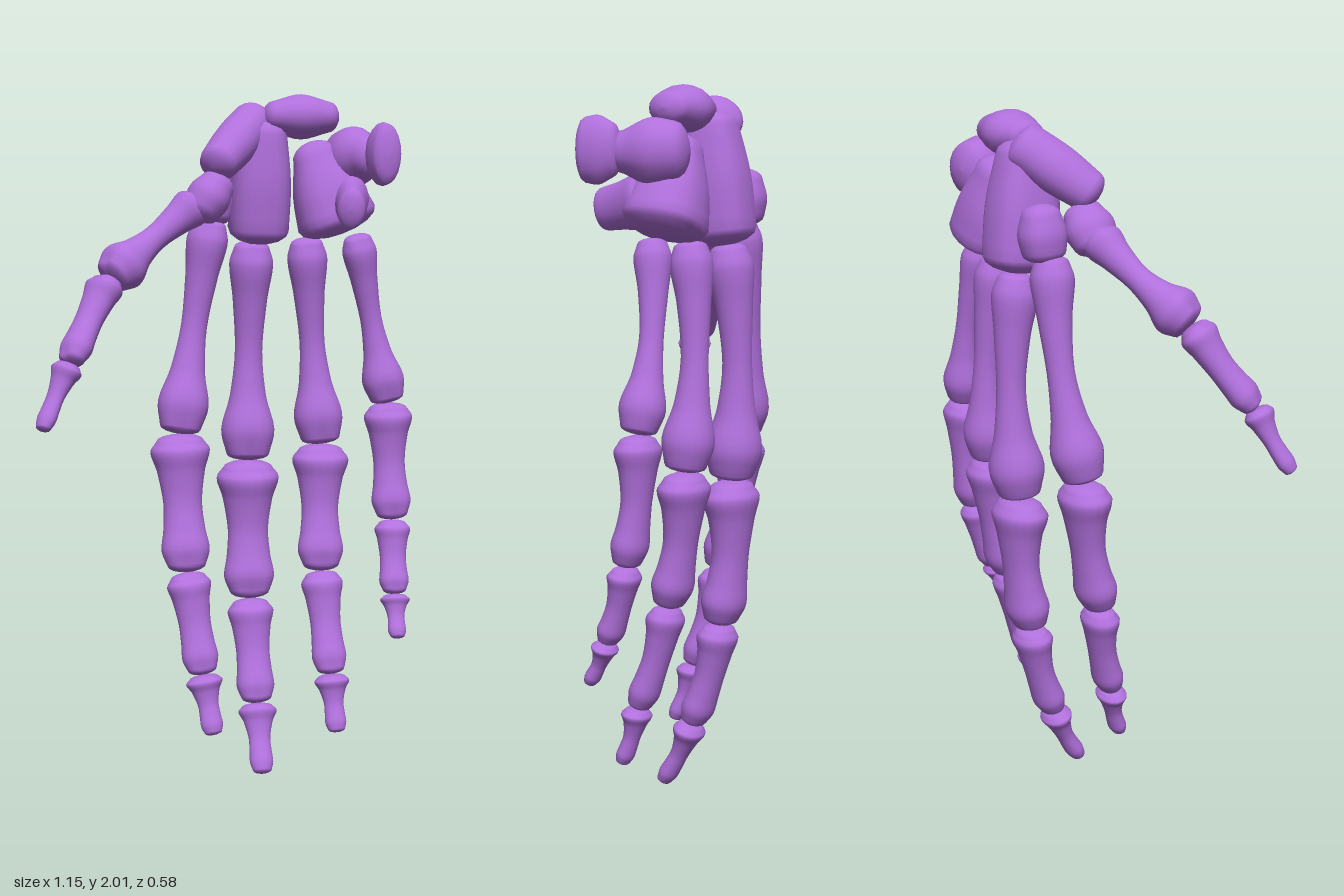
import * as THREE from 'three';

const material = new THREE.MeshStandardMaterial({ color: 0xb070dc });
const SEG = 20, CAP = 4;
const ACROSS = new THREE.Vector3(1, 0, 0);
const UPWARD = new THREE.Vector3(0, 1, 0);
const SLANTED = new THREE.Vector3(0.7, -0.7, 0);
const THUMBWISE = new THREE.Vector3(0.5, 0, 1);
const mix = THREE.MathUtils.lerp;

// Smooth closed loft through sections { p, w, d } with domed ends.
// side = width direction, cap = dome length, box = squareness, groove = palmar notch at the ends
function loft(name, sections, side, cap, box, groove) {
  const path = new THREE.CatmullRomCurve3(sections.map(s => s.p));
  const size = new THREE.CatmullRomCurve3(sections.map(s => new THREE.Vector3(s.w, s.d, 0)), false, 'catmullrom');
  const steps = (sections.length - 1) * 4;
  const power = v => Math.sign(v) * Math.abs(v) ** box;
  const pos = [], index = [];
  const last = steps + 2 * CAP;
  for (let i = 0; i <= last; i++) {
    const t = THREE.MathUtils.clamp((i - CAP) / steps, 0, 1);
    const dome = (Math.min(i - CAP, 0) + Math.max(i - CAP - steps, 0)) / CAP * Math.PI / 2;
    const k = Math.max(Math.cos(dome), 0.002);
    const T = path.getTangent(t), s = size.getPoint(t);
    const N = side.clone().addScaledVector(T, -T.dot(side)).normalize();
    const B = new THREE.Vector3().crossVectors(T, N);
    const centre = path.getPoint(t).addScaledVector(T, Math.sin(dome) * cap);
    for (let j = 0; j < SEG; j++) {
      const u = j / SEG * Math.PI * 2, cu = power(Math.cos(u)), su = power(Math.sin(u));
      const notch = su > 0 ? 1 - groove * Math.abs(2 * t - 1) ** 3 * Math.exp(-((cu / 0.45) ** 2)) : 1;
      const q = centre.clone().addScaledVector(N, cu * s.x * k).addScaledVector(B, su * s.y * k * notch);
      pos.push(q.x, q.y, q.z);
      if (i < last) {
        const a = i * SEG + j, b = i * SEG + (j + 1) % SEG;
        index.push(a, b, a + SEG, b, b + SEG, a + SEG);
      }
    }
  }
  const g = new THREE.BufferGeometry();
  g.setAttribute('position', new THREE.Float32BufferAttribute(pos, 3));
  g.setIndex(index);
  g.computeVertexNormals();
  const mesh = new THREE.Mesh(g, material);
  mesh.name = name;
  return mesh;
}

// Wrist bone: rounded pebble between two points, its ends scaled by startTaper and endTaper
function carpal(name, from, to, w, d, startTaper, endTaper, side = ACROSS, box = 1) {
  const a = new THREE.Vector3(...from), b = new THREE.Vector3(...to);
  const sections = [startTaper, 1, endTaper].map((k, i) => ({ p: a.clone().lerp(b, i / 2), w: w * k, d: d * k }));
  return loft(name, sections, side, 0.5 * Math.min(w, d), box, 0);
}

// Long bone: flared base, slim bowed shaft, rounded head
function longBone(name, a, b, { base, shaft, head, depth, groove }, scale, side) {
  const length = a.distanceTo(b), cap = 0.3 * scale * Math.min(base, head);
  const stations = [0, 0.08, 0.24, 0.5, 0.72, 0.88, 1];
  const widths = [base * 0.8, base, mix(shaft, base, 0.45), shaft, mix(shaft, head, 0.35), head, head * 0.8];
  const sections = stations.map((t, i) => {
    const p = a.clone().lerp(b, mix(cap / length, 1 - cap / length, t));
    p.z -= 0.035 * length * Math.sin(t * Math.PI);
    return { p, w: widths[i] * scale, d: widths[i] * scale * depth };
  });
  return loft(name, sections, side, cap, 1, groove);
}

// Half widths shared by all digits, scaled per digit
const boneTypes = {
  Metacarpal: { base: 0.062, shaft: 0.039, head: 0.076, depth: 1, groove: 0.25 },
  ProximalPhalanx: { base: 0.089, shaft: 0.058, head: 0.072, depth: 0.82, groove: 0.25 },
  MiddlePhalanx: { base: 0.066, shaft: 0.048, head: 0.054, depth: 0.82, groove: 0.25 },
  DistalPhalanx: { base: 0.055, shaft: 0.031, head: 0.033, depth: 0.78, groove: 0 },
};

// Digit: one long bone between each pair of neighbouring joints
function digit(name, scale, joints, side = ACROSS) {
  const group = new THREE.Group();
  group.name = name;
  const points = joints.map(j => new THREE.Vector3(...j));
  // the thumb has one bone fewer
  const types = Object.keys(boneTypes).filter(type => points.length === 5 || type !== 'ProximalPhalanx');
  types.forEach((type, i) => {
    group.add(longBone(name + type, points[i], points[i + 1], boneTypes[type], scale, side));
  });
  return group;
}

export function createModel() {
  const model = new THREE.Group();
  model.name = 'handSkeleton';

  const wrist = new THREE.Group();
  wrist.name = 'wrist';
  wrist.add(
    carpal('scaphoid', [0.085, 1.92, -0.17], [-0.035, 1.8, -0.04], 0.066, 0.073, 0.95, 0.85, SLANTED),
    carpal('lunate', [0.14, 1.935, -0.13], [0.3, 1.935, -0.13], 0.065, 0.083, 0.7, 0.7, UPWARD),
    carpal('triquetrum', [0.36, 1.82, -0.18], [0.4, 1.82, -0.05], 0.078, 0.088, 0.9, 0.65),
    carpal('pisiform', [0.425, 1.825, -0.03], [0.437, 1.825, 0.045], 0.046, 0.09, 0.8, 0.95),
    carpal('capitate', [0.11, 1.89, -0.15], [0.103, 1.61, -0.18], 0.088, 0.1, 0.8, 1, ACROSS, 0.75),
    carpal('hamate', [0.265, 1.82, -0.145], [0.33, 1.64, -0.135], 0.1, 0.095, 0.65, 1.18, ACROSS, 0.85),
    carpal('hamateHook', [0.36, 1.69, -0.08], [0.335, 1.67, 0.045], 0.045, 0.065, 1.2, 0.9),
    carpal('trapezoid', [-0.025, 1.75, -0.19], [-0.03, 1.65, -0.185], 0.06, 0.068, 0.8, 0.9, ACROSS, 0.85),
    carpal('trapezium', [-0.035, 1.74, -0.06], [-0.085, 1.67, -0.05], 0.064, 0.074, 0.8, 0.9, SLANTED),
  );

  model.add(
    wrist,
    digit('thumb', 0.94, [[-0.08, 1.7, -0.06], [-0.36, 1.48, 0.07], [-0.48, 1.255, 0.2],
      [-0.56, 1.08, 0.27]], THUMBWISE),
    digit('indexFinger', 1, [[-0.04, 1.64, -0.17], [-0.14, 1.01, -0.13], [-0.126, 0.605, -0.067],
      [-0.088, 0.31, 0], [-0.063, 0.14, 0.05]]),
    digit('middleFinger', 1.07, [[0.088, 1.575, -0.2], [0.077, 0.915, -0.207], [0.079, 0.495, -0.175],
      [0.088, 0.19, -0.09], [0.09, 0, 0.005]]),
    digit('ringFinger', 0.97, [[0.245, 1.585, -0.165], [0.295, 0.965, -0.175], [0.288, 0.585, -0.12],
      [0.304, 0.287, -0.033], [0.313, 0.12, 0.015]]),
    digit('littleFinger', 0.83, [[0.39, 1.595, -0.13], [0.494, 1.09, -0.143], [0.505, 0.738, -0.112],
      [0.5, 0.522, -0.048], [0.497, 0.4, 0.01]]),
  );
  return model;
}
